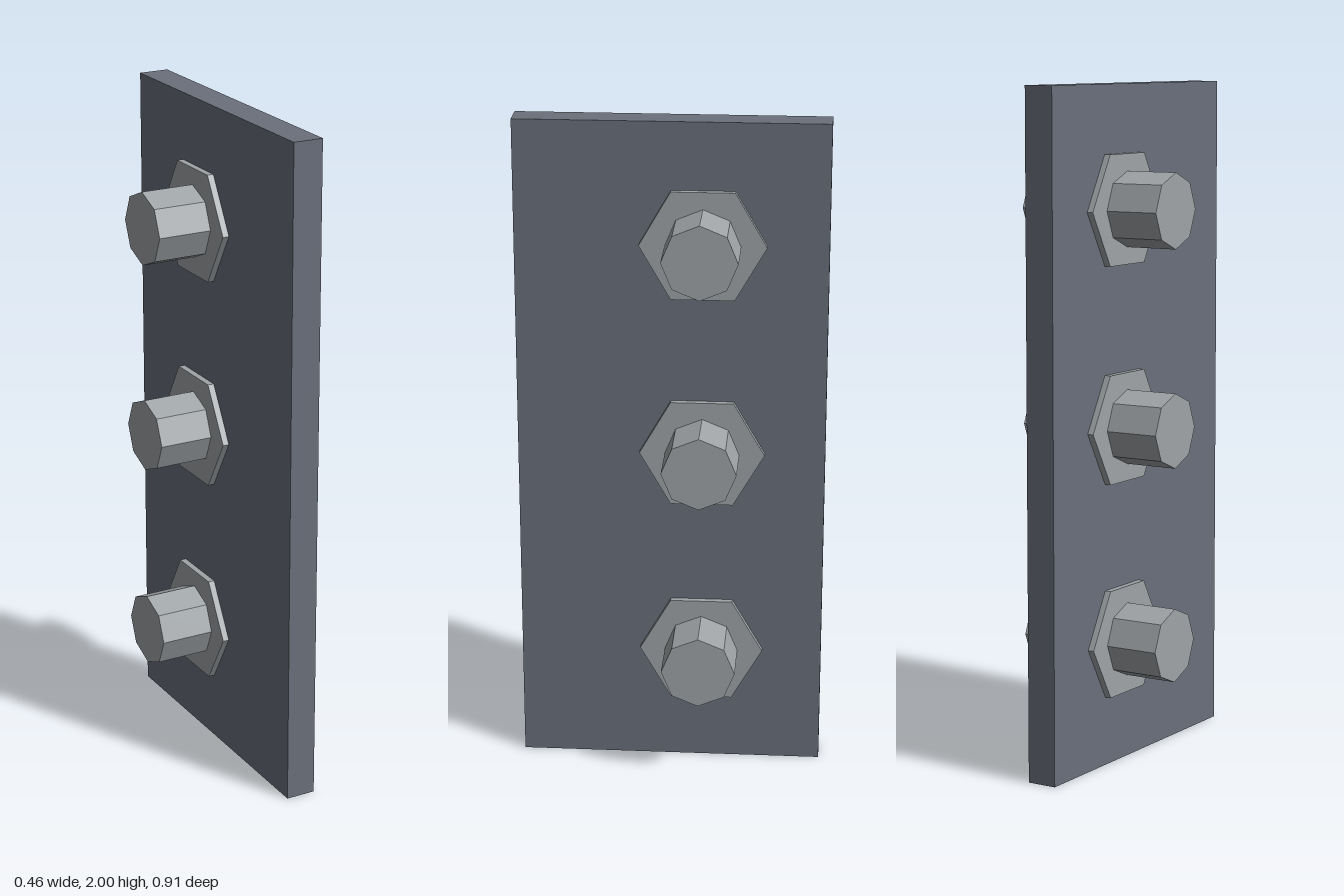
import * as THREE from 'three';

export function createModel() {
  const group = new THREE.Group();
  const plateSteel = new THREE.MeshStandardMaterial({ color: 0x6a707c, flatShading: true });
  plateSteel.name = 'blueGreySteel';
  const boltSteel = new THREE.MeshStandardMaterial({ color: 0x9fa4a7, flatShading: true });
  boltSteel.name = 'lightGreySteel';

  // Upright mounting plate
  const plate = new THREE.Mesh(new THREE.BoxGeometry(0.09, 2, 0.91), plateSteel);
  plate.name = 'plate';
  plate.position.y = 1;
  group.add(plate);

  // Prism lying along x, with corners on the z axis
  const prism = (radius, length, sides) =>
    new THREE.CylinderGeometry(radius, radius, length, sides).rotateZ(-Math.PI / 2);
  const washerGeometry = prism(0.185, 0.019, 6);
  const studGeometry = prism(0.11, 0.183, 8);

  // Three bolts, each with a hexagonal washer and a stud on both faces
  [0.366, 1.003, 1.64].forEach((y, i) => {
    const bolt = new THREE.Group();
    bolt.name = `bolt${i + 1}`;
    bolt.position.set(0, y, -0.092);
    for (const [side, label] of [[1, 'left'], [-1, 'right']]) {
      const washer = new THREE.Mesh(washerGeometry, boltSteel);
      washer.name = `${label}Washer`;
      washer.position.x = side * 0.0545;
      const stud = new THREE.Mesh(studGeometry, boltSteel);
      stud.name = `${label}Stud`;
      stud.position.x = side * 0.136;
      bolt.add(washer, stud);
    }
    group.add(bolt);
  });
  return group;
}
